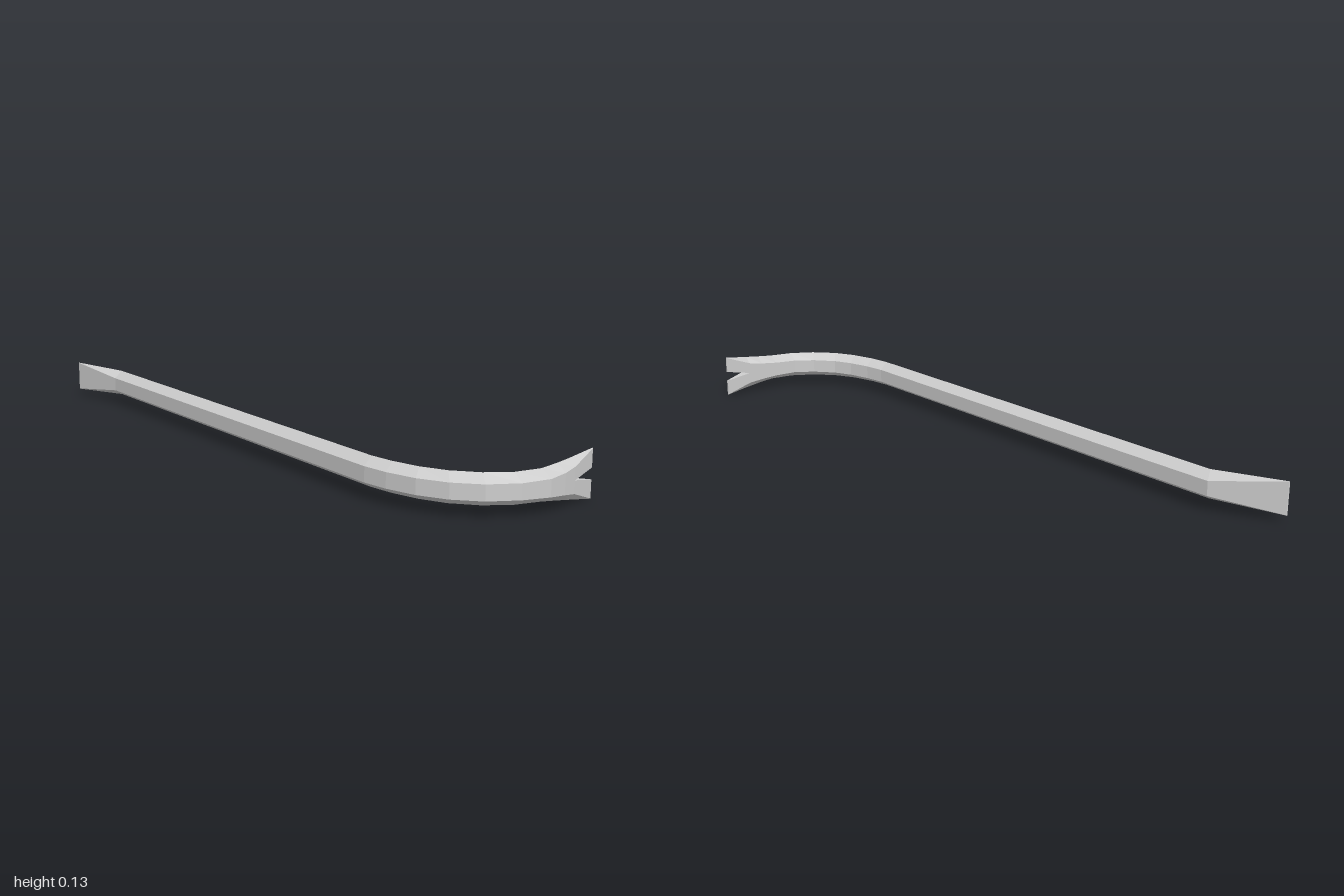
import * as THREE from 'three';

const MID = 0.066; // height of the bar's centre plane

// Skin a row of equal-length rings with quads and close both ends
function loft(rings, name, material) {
  const pos = [];
  const tri = (...p) => p.forEach((v) => pos.push(v[0], v[1], v[2]));
  const n = rings[0].length;
  for (let i = 0; i < rings.length - 1; i++) {
    for (let j = 0; j < n; j++) {
      const k = (j + 1) % n;
      const a = rings[i][j], b = rings[i][k], c = rings[i + 1][k], d = rings[i + 1][j];
      tri(a, d, b);
      tri(d, c, b);
    }
  }
  const first = rings[0], last = rings[rings.length - 1];
  for (let j = 1; j < n - 1; j++) {
    tri(first[0], first[j], first[j + 1]);
    tri(last[0], last[j + 1], last[j]);
  }
  const geometry = new THREE.BufferGeometry();
  geometry.setAttribute('position', new THREE.Float32BufferAttribute(pos, 3));
  geometry.computeVertexNormals();
  const mesh = new THREE.Mesh(geometry, material);
  mesh.name = name;
  return mesh;
}

// Section: outer x, z, inner x, z, half height of the flats, half height of the ridge
const hexRing = ([ox, oz, ix, iz, h, r]) => {
  const mx = (ox + ix) / 2, mz = (oz + iz) / 2;
  return [
    [ox, MID + h, oz], [mx, MID + r, mz], [ix, MID + h, iz],
    [ix, MID - h, iz], [mx, MID - r, mz], [ox, MID - h, oz],
  ];
};

// Half of a hexagonal section, kept a gap g away from the centre plane
const prongRing = ([ox, oz, ix, iz, h, r, g], side) => {
  const mx = (ox + ix) / 2, mz = (oz + iz) / 2;
  const ring = [
    [ox, MID + side * g, oz], [ox, MID + side * h, oz], [mx, MID + side * r, mz],
    [ix, MID + side * h, iz], [ix, MID + side * g, iz],
  ];
  return side > 0 ? ring : ring.reverse();
};

export function createModel() {
  const group = new THREE.Group();
  group.name = 'pryBar';
  const steel = new THREE.MeshStandardMaterial({ color: 0xcccccc, flatShading: true });
  const h = 0.021, r = 0.041;

  // Flat chisel tip widening out of the shaft
  const shaftStart = [-0.222, -0.78, -0.155, -0.82, h, r];
  group.add(loft([
    [-0.258, -1, -0.256, -0.998, 0.046, 0.047],
    shaftStart,
  ].map(hexRing), 'chiselTip', steel));

  // Straight hexagonal shaft
  const shaftEnd = [-0.222, 0.65, -0.155, 0.62, h, r];
  group.add(loft([shaftStart, shaftEnd].map(hexRing), 'shaft', steel));

  // Curved hook, flaring towards the claw
  const crotch = [0.175, 0.98, 0.175, 0.942, 0.035, 0.054];
  group.add(loft([
    shaftEnd,
    [-0.212, 0.725, -0.146, 0.69, h, r],
    [-0.187, 0.81, -0.127, 0.762, h, r],
    [-0.145, 0.885, -0.1, 0.822, h, r],
    [-0.085, 0.945, -0.05, 0.88, h, r],
    [-0.005, 0.985, 0.005, 0.918, h, r],
    [0.075, 1, 0.075, 0.929, 0.023, 0.042],
    [0.13, 0.992, 0.13, 0.935, 0.028, 0.048],
    crotch,
  ].map(hexRing), 'hook', steel));

  // Two claw prongs either side of the V notch
  for (const side of [1, -1]) {
    const rings = [
      [...crotch, 0],
      [0.258, 0.956, 0.257, 0.952, 0.065, 0.066, 0.0155],
    ].map((s) => prongRing(s, side));
    group.add(loft(rings, side > 0 ? 'upperProng' : 'lowerProng', steel));
  }
  return group;
}
